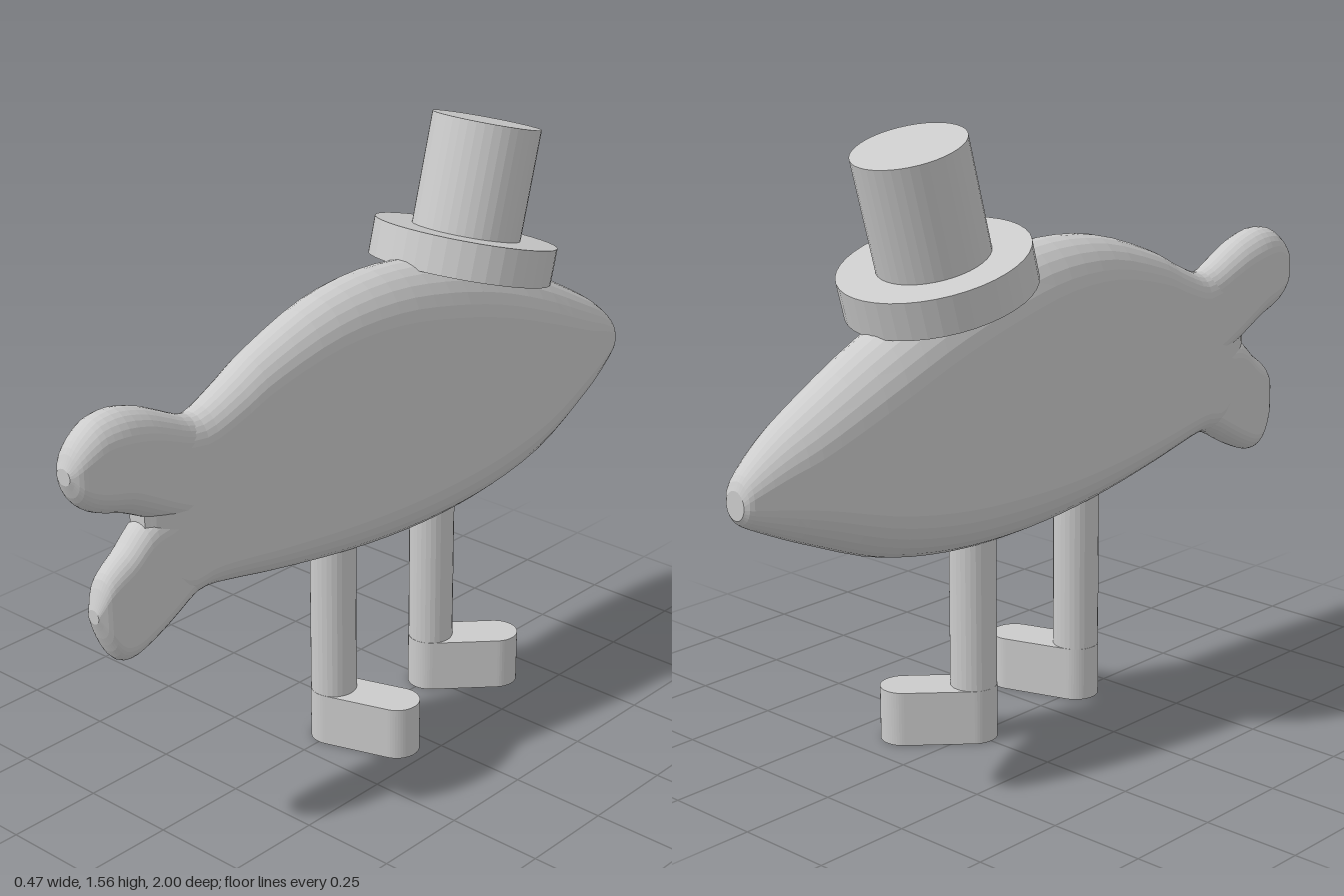
import * as THREE from 'three';

const material = new THREE.MeshStandardMaterial({ color: 0xcccccc, flatShading: true });

function add(parent, name, geometry) {
  const mesh = new THREE.Mesh(geometry, material);
  mesh.name = name;
  parent.add(mesh);
  return mesh;
}

// Lofts rounded slab sections along z; each row is [z, top, bottom, halfWidth].
function loft(rows, steps, sides = 28) {
  const outline = new THREE.CatmullRomCurve3(
    rows.map(([z, top, bottom]) => new THREE.Vector3(z, top, bottom)), false, 'catmullrom', 0.5);
  const widths = new THREE.CatmullRomCurve3(
    rows.map((r) => new THREE.Vector3(r[3], 0, 0)), false, 'catmullrom', 0.5);
  const positions = [], index = [];
  const ring = (t, scale) => {
    const p = outline.getPoint(t);
    const w = Math.max(widths.getPoint(t).x, 0.002) * scale;
    const mid = (p.y + p.z) / 2;
    const h = Math.max((p.y - p.z) / 2, 0.002) * scale;
    const r = Math.min(w * 1.15, h);
    for (let j = 0; j < sides; j++) {
      const a = ((j + 0.5) / sides) * Math.PI * 2;
      const s = Math.sin(a);
      const y = Math.sign(s) * (h - r) + r * s;
      // The flanks are slightly fuller towards the belly
      const taper = 1 - 0.07 * (y / Math.max(h, 0.001)) * Math.min(1, h / 0.3);
      positions.push(w * Math.cos(a) * taper, mid + y, p.x);
    }
  };
  ring(0, 0);
  for (let i = 0; i <= steps; i++) ring(i / steps, 1);
  ring(1, 0);
  for (let i = 0; i < steps + 2; i++) {
    for (let j = 0; j < sides; j++) {
      const k = (j + 1) % sides;
      const a = i * sides + j, b = i * sides + k, c = a + sides, d = b + sides;
      index.push(a, b, d, a, d, c);
    }
  }
  const g = new THREE.BufferGeometry();
  g.setAttribute('position', new THREE.Float32BufferAttribute(positions, 3));
  g.setIndex(index);
  g.computeVertexNormals();
  return g;
}

// Foot: a straight bar with round ends running from the leg to the toe.
function footGeometry(length, radius, height) {
  const shape = new THREE.Shape();
  shape.absarc(0, 0, radius, Math.PI / 2, Math.PI * 1.5, false);
  shape.absarc(length, 0, radius, -Math.PI / 2, Math.PI / 2, false);
  const g = new THREE.ExtrudeGeometry(shape, { depth: height, bevelEnabled: false, curveSegments: 14 });
  return g.rotateX(-Math.PI / 2);
}

export function createModel() {
  const model = new THREE.Group();
  model.name = 'walkingFish';

  // Fish, nose towards -z
  const fish = new THREE.Group();
  fish.name = 'fish';
  model.add(fish);
  add(fish, 'body', loft([
    [-1.0, 0.82, 0.75, 0.03], [-0.98, 0.855, 0.73, 0.048], [-0.9, 0.92, 0.69, 0.076],
    [-0.8, 0.98, 0.645, 0.1], [-0.6, 1.085, 0.565, 0.124], [-0.4, 1.165, 0.525, 0.13],
    [-0.2, 1.217, 0.512, 0.128], [0, 1.238, 0.518, 0.116], [0.2, 1.217, 0.54, 0.1],
    [0.4, 1.15, 0.573, 0.082], [0.5, 1.1, 0.593, 0.073], [0.6, 1.056, 0.61, 0.063],
    [0.68, 1.05, 0.61, 0.056], [0.75, 0.98, 0.68, 0.046], [0.79, 0.9, 0.78, 0.025],
  ], 44));
  add(fish, 'upperTailLobe', loft([
    [0.58, 1.045, 0.76, 0.05], [0.65, 1.06, 0.79, 0.055], [0.72, 1.093, 0.82, 0.06],
    [0.78, 1.12, 0.85, 0.064], [0.85, 1.138, 0.885, 0.066], [0.91, 1.133, 0.905, 0.06],
    [0.95, 1.11, 0.925, 0.053], [0.98, 1.08, 0.955, 0.042], [1.0, 1.04, 1.0, 0.022],
  ], 22));
  add(fish, 'lowerTailLobe', loft([
    [0.58, 0.89, 0.615, 0.05], [0.65, 0.88, 0.602, 0.054], [0.72, 0.86, 0.565, 0.054],
    [0.78, 0.845, 0.535, 0.052], [0.84, 0.793, 0.514, 0.048], [0.88, 0.765, 0.525, 0.043],
    [0.91, 0.735, 0.575, 0.036], [0.935, 0.67, 0.635, 0.018],
  ], 20));

  // Tilted hat; its origin is the middle of the brim's upper face
  const hat = new THREE.Group();
  hat.name = 'hat';
  hat.position.set(0, 1.243, -0.373);
  hat.rotation.x = -0.27;
  model.add(hat);
  add(hat, 'brim', new THREE.CylinderGeometry(0.236, 0.236, 0.095, 40)).position.y = -0.0475;
  add(hat, 'crown', new THREE.CylinderGeometry(0.14, 0.14, 0.285, 40)).position.y = 0.1425;

  // Legs stand on the centre line, feet point to +x and turn towards the nose
  const legs = [['rearLeg', 0.135, 0.32], ['frontLeg', -0.25, 0.8]];
  for (const [name, z, turn] of legs) {
    const leg = new THREE.Group();
    leg.name = name;
    leg.position.z = z;
    model.add(leg);
    add(leg, 'shin', new THREE.CylinderGeometry(0.059, 0.059, 0.62, 28)).position.y = 0.31;
    add(leg, 'foot', footGeometry(0.175, 0.0595, 0.14)).rotation.y = turn;
  }
  return model;
}
